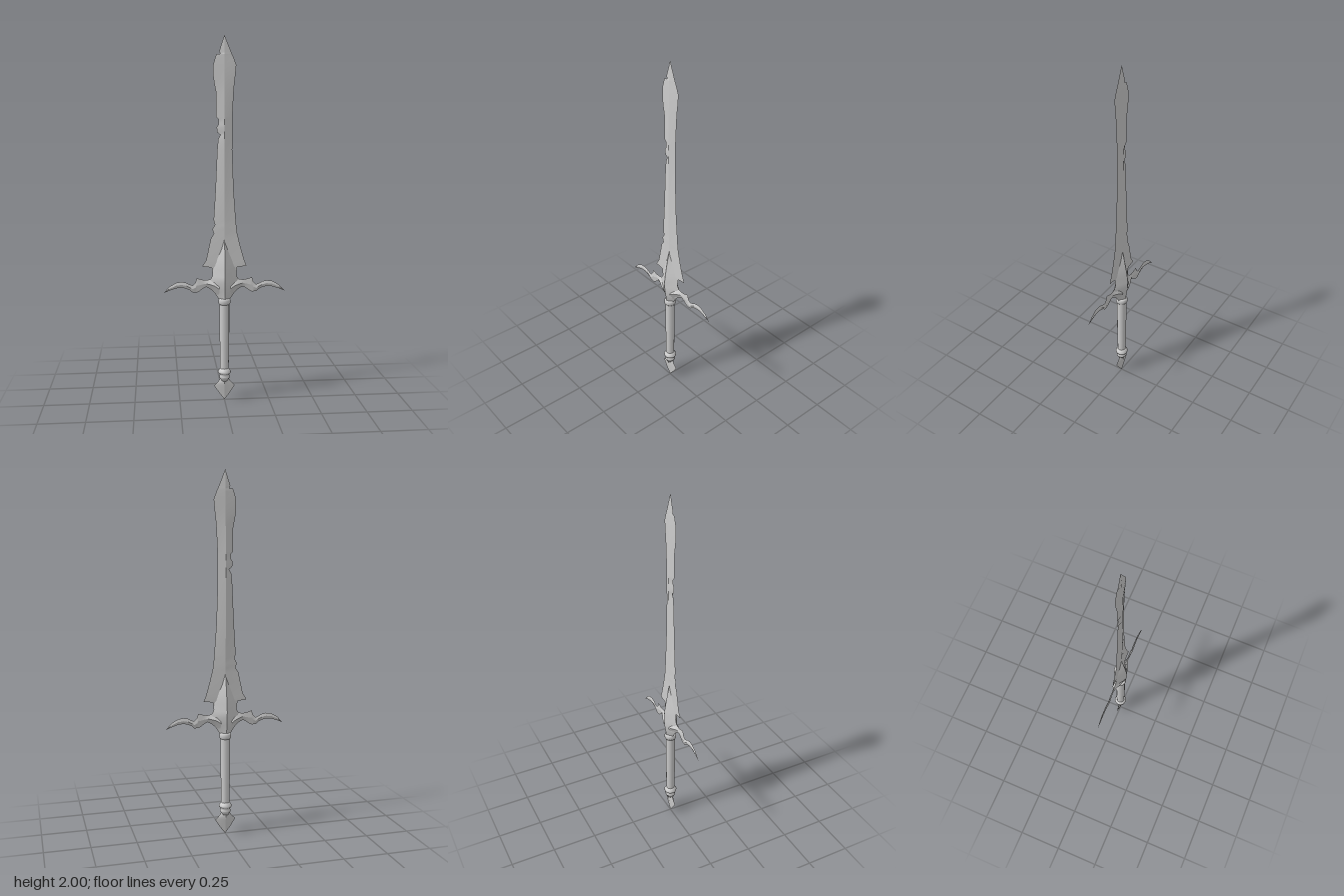
import * as THREE from 'three';

const material = new THREE.MeshStandardMaterial({ color: 0xcccccc, side: THREE.DoubleSide });

// Lofts diamond sections [t, lo, hi, depth]: smooth along the length, sharp at ridge and edges.
// place(t, u, z) puts a section point in space; flip reverses the winding.
function diamondLoft(name, rows, place, flip, ridge) {
  const positions = [], index = [];
  const rings = rows.map(([t, lo, hi, d]) => {
    const c = ridge(lo, hi);
    return [[hi, 0], [c, d], [lo, 0], [c, -d]].map(([u, z]) => place(t, u, z));
  });
  for (let s = 0; s < 4; s++) {
    const base = positions.length / 3;
    rings.forEach((ring, i) => {
      positions.push(...ring[s], ...ring[(s + 1) % 4]);
      if (i === 0) return;
      const a = base + 2 * (i - 1), b = a + 1, c = a + 2, d = a + 3;
      if (flip) index.push(a, b, c, b, d, c);
      else index.push(a, c, b, b, c, d);
    });
  }
  const geometry = new THREE.BufferGeometry();
  geometry.setAttribute('position', new THREE.Float32BufferAttribute(positions, 3));
  geometry.setIndex(index);
  geometry.computeVertexNormals();
  const mesh = new THREE.Mesh(geometry, material);
  mesh.name = name;
  return mesh;
}

const upright = (name, rows) =>
  diamondLoft(name, rows, (t, u, z) => [u, t, z], false, () => 0);

const sideways = (name, rows, side) =>
  diamondLoft(name, rows, (t, u, z) => [side * t, u, z], side > 0, (lo, hi) => (lo + hi) / 2);

function lathe(name, profile, sides) {
  const points = profile.map(([r, y]) => new THREE.Vector2(r, y));
  const mesh = new THREE.Mesh(new THREE.LatheGeometry(points, sides), material);
  mesh.name = name;
  return mesh;
}

export function createModel() {
  const sword = new THREE.Group();
  sword.name = 'sword';

  // Blade, clean on the left edge and chipped on the right
  sword.add(upright('blade', [
    [0.68, -0.06, 0.06, 0.004], [0.758, -0.07, 0.07, 0.005],
    [0.765, -0.122, 0.122, 0.005], [0.80, -0.10, 0.108, 0.005],
    [0.87, -0.085, 0.088, 0.006], [0.92, -0.074, 0.076, 0.006],
    [0.945, -0.058, 0.07, 0.007], [0.97, -0.066, 0.067, 0.008],
    [0.995, -0.052, 0.064, 0.008], [1.02, -0.059, 0.062, 0.009],
    [1.18, -0.049, 0.05, 0.011], [1.40, -0.039, 0.042, 0.012],
    [1.455, -0.034, 0.042, 0.012], [1.48, -0.022, 0.042, 0.012],
    [1.492, -0.038, 0.042, 0.012], [1.52, -0.042, 0.042, 0.012],
    [1.535, -0.031, 0.042, 0.012], [1.56, -0.031, 0.042, 0.012],
    [1.575, -0.044, 0.043, 0.012], [1.70, -0.044, 0.049, 0.010],
    [1.75, -0.054, 0.053, 0.009], [1.79, -0.06, 0.058, 0.008],
    [1.845, -0.06, 0.063, 0.007], [1.885, -0.048, 0.048, 0.006],
    [1.9, -0.042, 0.041, 0.006], [1.902, -0.022, 0.04, 0.006],
    [1.915, -0.028, 0.034, 0.005], [2.0, 0, 0, 0],
  ]));

  // Thick boss that clasps the blade
  sword.add(upright('guardBoss', [
    [0.575, -0.028, 0.028, 0.026], [0.61, -0.05, 0.05, 0.031],
    [0.64, -0.075, 0.075, 0.036], [0.68, -0.085, 0.085, 0.04],
    [0.71, -0.066, 0.066, 0.041], [0.75, -0.062, 0.062, 0.037],
    [0.80, -0.045, 0.045, 0.029], [0.86, -0.022, 0.022, 0.018],
    [0.92, 0, 0, 0.005],
  ]));

  // Curved, hooked wings of the crossguard
  const wing = [
    [0.03, 0.585, 0.70, 0.028], [0.055, 0.618, 0.70, 0.023],
    [0.078, 0.638, 0.692, 0.013], [0.10, 0.65, 0.688, 0.006],
    [0.118, 0.642, 0.69, 0.003], [0.14, 0.625, 0.696, 0.004],
    [0.152, 0.62, 0.70, 0.004], [0.16, 0.62, 0.675, 0.005],
    [0.175, 0.62, 0.66, 0.005], [0.19, 0.634, 0.665, 0.005],
    [0.21, 0.643, 0.676, 0.005], [0.235, 0.649, 0.681, 0.004],
    [0.265, 0.646, 0.677, 0.004], [0.30, 0.635, 0.657, 0.003],
    [0.335, 0.62, 0.62, 0],
  ];
  sword.add(sideways('leftGuardWing', wing, 1), sideways('rightGuardWing', wing, -1));

  // Grip with its collar and the rings below it
  sword.add(lathe('grip', [[0.023, 0.16], [0.025, 0.25], [0.027, 0.4], [0.027, 0.56]], 12));
  sword.add(lathe('gripCollar', [
    [0, 0.55], [0.027, 0.55], [0.033, 0.558], [0.033, 0.575], [0.028, 0.584], [0, 0.584],
  ], 16));
  sword.add(lathe('gripRings', [
    [0, 0.112], [0.018, 0.112], [0.022, 0.122], [0.029, 0.13], [0.029, 0.14], [0.023, 0.15],
    [0.035, 0.158], [0.036, 0.167], [0.028, 0.178], [0.023, 0.185], [0, 0.185],
  ], 16));

  // Flat pointed pommel
  sword.add(upright('pommel', [
    [0, 0, 0, 0], [0.04, -0.03, 0.03, 0.004], [0.083, -0.058, 0.058, 0.01],
    [0.105, -0.036, 0.036, 0.015], [0.13, -0.02, 0.02, 0.02],
  ]));
  return sword;
}
